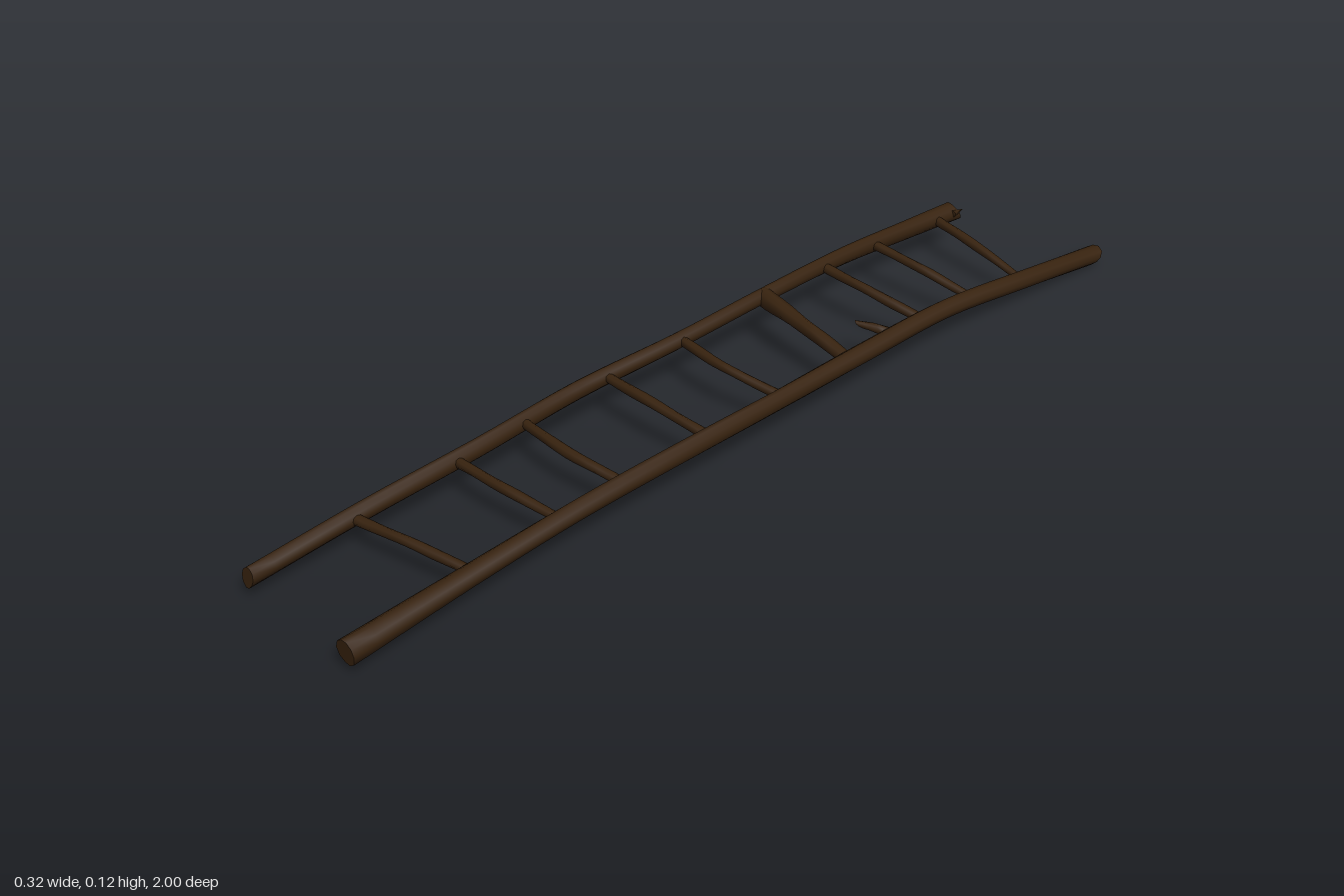
import * as THREE from 'three';

// Sweeps an irregular round section along a path.
// pts: [x, y, z, half width, half height]; skew slants the two end cuts.
function branch(name, pts, material, { sides = 10, steps = 24, skew = [0, 0], wobble = 0.06, seed = 0 } = {}) {
  const path = new THREE.CatmullRomCurve3(pts.map(p => new THREE.Vector3(p[0], p[1], p[2])));
  const up = new THREE.Vector3(0, 1, 0);
  const pos = [], idx = [];
  for (let i = 0; i <= steps; i++) {
    const t = i / steps;
    const c = path.getPoint(t), tan = path.getTangent(t);
    const side = new THREE.Vector3().crossVectors(up, tan).normalize();
    const top = new THREE.Vector3().crossVectors(tan, side);
    const f = t * (pts.length - 1), k = Math.min(Math.floor(f), pts.length - 2);
    const w = THREE.MathUtils.lerp(pts[k][3], pts[k + 1][3], f - k);
    const h = THREE.MathUtils.lerp(pts[k][4], pts[k + 1][4], f - k);
    const cut = i === 0 ? skew[0] : i === steps ? skew[1] : 0;
    for (let j = 0; j < sides; j++) {
      const a = j / sides * Math.PI * 2;
      const r = 1 + wobble * Math.sin(2 * a + t * 9 + seed) + wobble * 0.6 * Math.sin(3 * a - t * 14 + seed * 2);
      const p = c.clone().addScaledVector(side, Math.cos(a) * w * r).addScaledVector(top, Math.sin(a) * h * r);
      p.addScaledVector(tan, cut * Math.sin(a));
      pos.push(p.x, p.y, p.z);
    }
  }
  for (let i = 0; i < steps; i++) {
    for (let j = 0; j < sides; j++) {
      const a = i * sides + j, b = i * sides + (j + 1) % sides;
      idx.push(a, b, b + sides, a, b + sides, a + sides);
    }
  }
  // End caps with their own vertices, so the cut edge stays sharp
  for (const end of [0, steps]) {
    const first = pos.length / 3;
    for (let j = 0; j < sides; j++) {
      const s = (end * sides + j) * 3;
      pos.push(pos[s], pos[s + 1], pos[s + 2]);
    }
    for (let j = 1; j < sides - 1; j++) {
      if (end) idx.push(first, first + j, first + j + 1);
      else idx.push(first, first + j + 1, first + j);
    }
  }
  const geo = new THREE.BufferGeometry();
  geo.setAttribute('position', new THREE.Float32BufferAttribute(pos, 3));
  geo.setIndex(idx);
  geo.computeVertexNormals();
  const mesh = new THREE.Mesh(geo, material);
  mesh.name = name;
  return mesh;
}

// Linear lookup of a rail's centre at a given z
function railAt(rail, z) {
  let k = 0;
  while (k < rail.length - 2 && rail[k + 1][2] > z) k++;
  const t = (rail[k][2] - z) / (rail[k][2] - rail[k + 1][2]);
  return rail[k].map((v, i) => THREE.MathUtils.lerp(v, rail[k + 1][i], t));
}

export function createModel() {
  const model = new THREE.Group();
  model.name = 'ladder';
  const wood = new THREE.MeshStandardMaterial({ color: 0x38230f });
  wood.name = 'dark wood';

  // Side rails, front to back
  const left = [
    [0.131, 0.041, 1.0, 0.022, 0.025], [0.129, 0.056, 0.75, 0.019, 0.022],
    [0.128, 0.07, 0.5, 0.018, 0.021], [0.133, 0.079, 0.25, 0.017, 0.02],
    [0.137, 0.084, 0, 0.016, 0.019], [0.133, 0.083, -0.25, 0.017, 0.02],
    [0.126, 0.077, -0.5, 0.017, 0.02], [0.131, 0.052, -0.75, 0.02, 0.021],
    [0.134, 0.023, -0.992, 0.023, 0.02],
  ];
  const right = [
    [-0.147, 0.043, 0.99, 0.016, 0.02], [-0.144, 0.063, 0.75, 0.016, 0.019],
    [-0.141, 0.078, 0.5, 0.015, 0.018], [-0.147, 0.091, 0.25, 0.014, 0.018],
    [-0.135, 0.1, 0, 0.013, 0.018], [-0.137, 0.106, -0.25, 0.014, 0.018],
    [-0.145, 0.102, -0.5, 0.016, 0.019], [-0.141, 0.093, -0.7, 0.017, 0.02],
    [-0.139, 0.084, -0.85, 0.02, 0.021],
  ];
  model.add(branch('leftRail', left, wood, { steps: 40, skew: [0, 0.008], seed: 1 }));
  model.add(branch('rightRail', right, wood, { steps: 40, skew: [0.004, -0.012], seed: 3 }));

  // Rungs: z at right rail, z at middle, z at left rail, radius at each end
  const rungs = [
    [0.775, 0.757, 0.73, 0.010, 0.009], [0.547, 0.55, 0.535, 0.010, 0.009],
    [0.385, 0.401, 0.388, 0.010, 0.010], [0.178, 0.186, 0.182, 0.010, 0.010],
    [-0.012, 0.005, -0.01, 0.010, 0.009], [-0.245, -0.218, -0.2, 0.019, 0.012],
    [-0.428, -0.42, -0.43, 0.010, 0.010], [-0.585, -0.58, -0.586, 0.010, 0.009],
    [-0.785, -0.762, -0.745, 0.011, 0.008],
  ];
  rungs.forEach(([zr, zm, zl, r1, r2], i) => {
    const a = railAt(right, zr), b = railAt(left, zl), rm = (r1 + r2) / 2;
    model.add(branch('rung' + (i + 1), [
      [a[0], a[1], zr, r1, r1],
      [-0.005, (a[1] + b[1]) / 2 + 0.007, zm, rm, rm],
      [b[0], b[1], zl, r2, r2],
    ], wood, { sides: 8, steps: 10, seed: i }));
  });

  // Stub of a broken rung on the left rail
  model.add(branch('brokenRung', [
    [0.13, 0.083, -0.336, 0.011, 0.011], [0.095, 0.088, -0.327, 0.010, 0.010],
    [0.055, 0.09, -0.313, 0.006, 0.005],
  ], wood, { sides: 8, steps: 6, skew: [0, 0.006], seed: 2 }));

  // Splinters at the snapped back ends of the rails
  for (const [name, x, y, z] of [['rightSplinter', -0.122, 0.09, -0.845], ['leftSplinter', 0.147, 0.03, -0.982]]) {
    const splinter = new THREE.Mesh(new THREE.ConeGeometry(0.008, 0.035, 6), wood);
    splinter.name = name;
    splinter.rotation.x = -Math.PI / 2;
    splinter.position.set(x, y, z);
    model.add(splinter);
  }
  return model;
}
